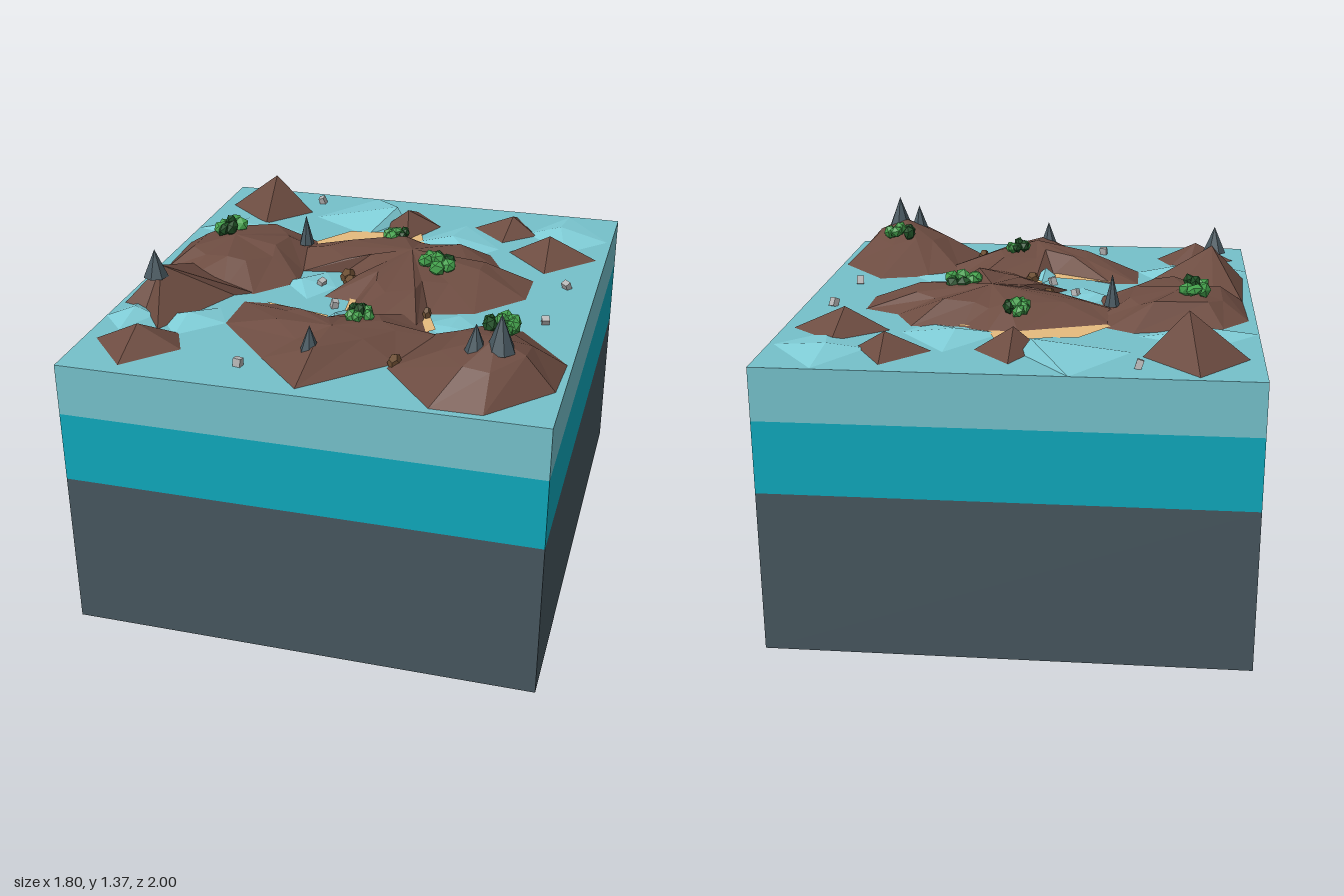
import * as THREE from 'three';

const SEA = 1.1;
const mat = (color, extra = {}) => new THREE.MeshStandardMaterial({ color, flatShading: true, ...extra });
const earth = mat(0x6d4c41), shallow = mat(0x80ced8), sand = mat(0xe6bb7e), slate = mat(0x46565e);
const leaf = mat(0x43a04b), darkLeaf = mat(0x1f4f25), pebble = mat(0xb4b4b4), boulder = mat(0x6b4d32);

// Faceted hill: shoreline [x, z] clockwise from above, an optional shoulder ring, and a summit [x, y, z].
function hill(shore, summit, shoulder) {
  const [px, py, pz] = summit, n = shore.length;
  const rings = [shore.map(([x, z]) => [x, SEA, z])];
  if (shoulder) {
    const [f, y] = shoulder;
    rings.push(shore.map(([x, z], i) => [px + (x - px) * f, y + (i % 3 - 1) * 0.012, pz + (z - pz) * f]));
  }
  rings.push(shore.map(() => summit));
  const pos = [];
  for (let r = 0; r < rings.length - 1; r++) {
    for (let i = 0; i < n; i++) {
      const j = (i + 1) % n, a = rings[r], b = rings[r + 1];
      pos.push(...a[j], ...a[i], ...b[i]);
      if (r < rings.length - 2) pos.push(...a[j], ...b[i], ...b[j]);
    }
  }
  const g = new THREE.BufferGeometry();
  g.setAttribute('position', new THREE.Float32BufferAttribute(pos, 3));
  g.computeVertexNormals();
  return g;
}

// Flat patch lying just above the water.
function patch(points) {
  const g = new THREE.ShapeGeometry(new THREE.Shape(points.map(([x, z]) => new THREE.Vector2(x, -z))));
  return g.rotateX(-Math.PI / 2).translate(0, SEA + 0.006, 0);
}

export function createModel() {
  const model = new THREE.Group();
  const add = (name, geo, material, parent = model) => {
    const m = new THREE.Mesh(geo, material);
    m.name = name;
    parent.add(m);
    return m;
  };

  // Layered block
  [['bedrock', 0, 0.625, slate], ['deepWater', 0.625, 0.9, mat(0x0ea8bb)], ['shallowWater', 0.9, SEA, mat(0x75c1cb)]]
    .forEach(([name, lo, hi, m]) => {
      add(name, new THREE.BoxGeometry(1.8, hi - lo, 2), m).position.y = (lo + hi) / 2;
    });

  // Large islands
  add('westIsland', hill([[-0.87, -0.25], [-0.77, -0.37], [-0.43, -0.46], [-0.33, -0.4], [-0.27, -0.3], [-0.3, -0.07],
    [-0.28, 0.05], [-0.42, 0.21], [-0.55, 0.21], [-0.74, 0.13], [-0.86, 0.05]], [-0.62, 1.205, -0.14], [0.6, 1.18]), earth);
  add('southWestIsland', hill([[-0.86, 0.03], [-0.74, -0.05], [-0.58, 0.1], [-0.42, 0.2], [-0.49, 0.24], [-0.57, 0.42], [-0.66, 0.62],
    [-0.78, 0.45], [-0.88, 0.42]], [-0.74, 1.255, 0.37]), earth);
  add('centralIsland', hill([[-0.49, -0.27], [-0.35, -0.37], [0, -0.5], [0.12, -0.5], [0.22, -0.43], [0.42, -0.44],
    [0.5, -0.28], [0.64, -0.21], [0.64, -0.02], [0.47, 0.17], [0.3, 0.22], [0.3, 0.42], [0.1, 0.42], [0.01, 0.3],
    [-0.01, 0.18], [-0.14, 0.16], [-0.05, 0.04], [-0.13, -0.1], [-0.3, -0.07]], [0.14, 1.205, -0.17], [0.6, 1.17]), earth);
  add('southIsland', hill([[-0.43, 0.29], [-0.32, 0.28], [-0.06, 0.42], [0.01, 0.28], [0.28, 0.22], [0.34, 0.38], [0.46, 0.42],
    [0.28, 0.67], [-0.01, 0.95], [-0.2, 0.75], [-0.43, 0.5]], [0.03, 1.205, 0.63], [0.5, 1.175]), earth);
  add('southEastIsland', hill([[0.26, 0.71], [0.34, 0.4], [0.48, 0.34], [0.68, 0.28], [0.88, 0.52], [0.87, 0.74],
    [0.66, 0.97], [0.47, 0.97]], [0.65, 1.275, 0.72], [0.5, 1.21]), earth);

  // Small pyramid islets
  [
    [[[-0.67, -0.97], [-0.47, -0.75], [-0.63, -0.56], [-0.85, -0.75]], [-0.63, 1.27, -0.73]],
    [[[0, -0.88], [0.14, -0.72], [0.04, -0.5], [-0.1, -0.68]], [0, 1.18, -0.68]],
    [[[0.45, -0.93], [0.57, -0.72], [0.44, -0.6], [0.29, -0.75]], [0.46, 1.17, -0.75]],
    [[[0.68, -0.66], [0.86, -0.5], [0.67, -0.3], [0.49, -0.5]], [0.66, 1.19, -0.5]],
    [[[-0.57, 0.63], [-0.51, 0.76], [-0.68, 0.94], [-0.85, 0.75], [-0.74, 0.69], [-0.65, 0.63]], [-0.68, 1.18, 0.75]],
  ].forEach(([shore, top]) => add('islet', hill(shore, top), earth));

  // Pale shoals breaking the surface
  [
    [[[-0.22, -1], [-0.03, -0.75], [-0.15, -0.53], [-0.43, -0.7]], [-0.07, 1.16, -0.76]],
    [[[0.68, -0.99], [0.88, -0.72], [0.72, -0.55], [0.53, -0.74]], [0.67, 1.13, -0.78]],
    [[[-0.72, -0.62], [-0.45, -0.5], [-0.6, -0.36], [-0.9, -0.43]], [-0.73, 1.13, -0.47]],
    [[[0.25, -0.76], [0.44, -0.52], [0.35, -0.4], [0.06, -0.5]], [0.23, 1.13, -0.55]],
    [[[-0.2, -0.08], [-0.12, 0.06], [-0.2, 0.2], [-0.34, 0.05]], [-0.27, 1.12, 0.05]],
    [[[-0.02, 0.26], [0.02, 0.35], [-0.03, 0.46], [-0.08, 0.38]], [-0.03, 1.14, 0.38]],
    [[[0.42, 0.2], [0.55, 0.35], [0.42, 0.45], [0.31, 0.3]], [0.41, 1.11, 0.33]],
    [[[-0.5, 0.37], [-0.43, 0.5], [-0.58, 0.65], [-0.7, 0.5]], [-0.58, 1.13, 0.5]],
    [[[-0.83, 0.41], [-0.72, 0.5], [-0.8, 0.66], [-0.9, 0.55]], [-0.8, 1.13, 0.5]],
  ].forEach(([shore, top]) => add('shoal', hill(shore, top), shallow));

  // Beaches
  [
    [[-0.37, -0.35], [-0.23, -0.55], [0.08, -0.6], [0.12, -0.48], [-0.1, -0.4]],
    [[-0.34, 0.28], [-0.07, 0.34], [-0.06, 0.42], [-0.2, 0.4]],
    [[-0.14, -0.11], [0.02, -0.1], [0.05, 0.3], [-0.02, 0.28], [-0.04, 0.1]],
    [[0.26, 0.2], [0.31, 0.24], [0.36, 0.36], [0.3, 0.42]],
    [[0.15, -0.43], [0.24, -0.44], [0.22, -0.39], [0.15, -0.39]],
  ].forEach(p => add('beach', patch(p), sand));

  // Bushes: leafy lumps around a centre; x, base y, z, half width, half depth, height
  [[-0.66, 1.19, -0.2, 0.055, 0.09, 0.08], [0.02, 1.15, -0.39, 0.05, 0.07, 0.07], [0.27, 1.17, -0.08, 0.08, 0.085, 0.07],
    [0.1, 1.18, 0.5, 0.055, 0.055, 0.07], [0.64, 1.22, 0.55, 0.07, 0.065, 0.08]].forEach(([x, y, z, w, d, h], k) => {
    const bush = new THREE.Group();
    bush.name = 'bush';
    bush.position.set(x, y, z);
    model.add(bush);
    for (let i = 0; i < 7; i++) {
      const a = i * 2.4 + k, r = i ? 0.65 : 0;
      const lump = add('leafLump', new THREE.IcosahedronGeometry(1, 0), (i + k) % 3 ? leaf : darkLeaf, bush);
      lump.position.set(Math.cos(a) * r * w, h * (i ? 0.25 + 0.07 * (i % 4) : 0.55), Math.sin(a) * r * d);
      lump.scale.set(w * 0.42, h * 0.42, d * 0.42);
      lump.rotation.set(a, a * 1.7, 0);
    }
  });

  // Slate spires: x, z, base y, top y, radius
  [[-0.75, 0.4, 1.22, 1.33, 0.05], [-0.34, -0.25, 1.15, 1.275, 0.032], [-0.01, 0.765, 1.16, 1.26, 0.038],
    [0.585, 0.745, 1.22, 1.33, 0.042], [0.67, 0.73, 1.23, 1.37, 0.055]].forEach(([x, z, lo, hi, r], i) => {
    const spire = add('spire', new THREE.ConeGeometry(r, hi - lo, 7), slate);
    spire.position.set(x, (lo + hi) / 2, z);
    spire.rotation.y = i;
  });

  // Floating pebbles
  [[-0.46, -0.88], [0.78, -0.17], [0.75, 0.19], [-0.18, 0.06], [-0.07, 0.25], [-0.26, 0.83]].forEach(([x, z], i) => {
    const p = add('pebble', new THREE.BoxGeometry(0.025, 0.035, 0.03), pebble);
    p.position.set(x, SEA + 0.013, z);
    p.rotation.set(0.2, i * 0.9, 0.3);
  });

  // Shore boulders: x, z, half width, half depth
  [[-0.1, -0.04, 0.03, 0.045], [-0.07, 0.02, 0.03, 0.045], [0.02, 0.28, 0.03, 0.035], [0.28, 0.68, 0.025, 0.04],
    [0.3, 0.25, 0.018, 0.025]].forEach(([x, z, w, d]) => {
    const b = add('boulder', new THREE.DodecahedronGeometry(1), boulder);
    b.position.set(x, SEA + 0.015, z);
    b.scale.set(w, 0.03, d);
  });

  return model;
}
